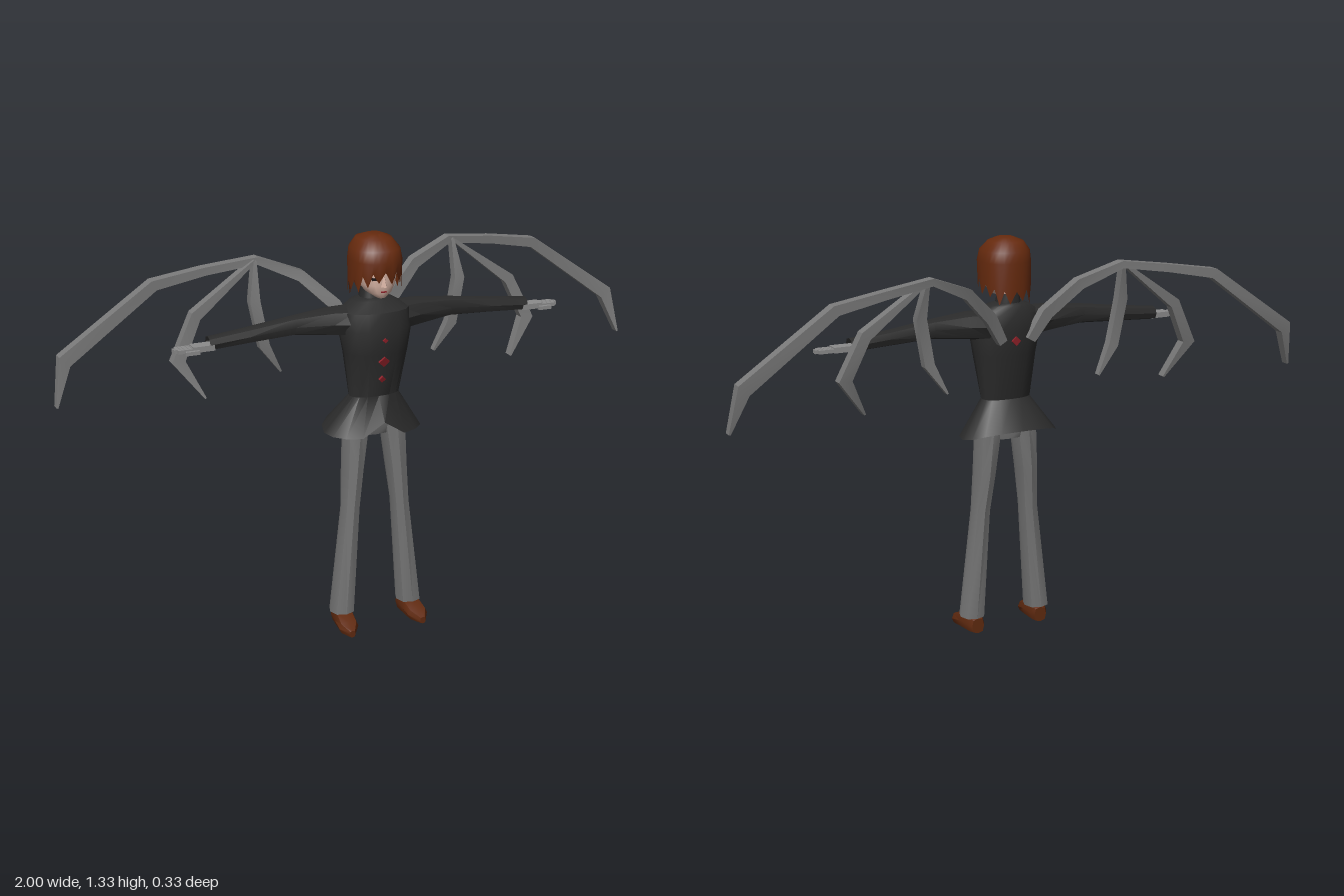
import * as THREE from 'three';
import { toCreasedNormals } from 'three/addons/utils/BufferGeometryUtils.js';

const paint = (name, color, side = THREE.FrontSide) => {
  const m = new THREE.MeshStandardMaterial({ color, side });
  m.name = name;
  return m;
};

// Skin a list of equal-sized rings of [x, y, z] points, counter-clockwise around the direction of travel.
function loft(rings, capStart = true, capEnd = true) {
  const n = rings[0].length, last = (rings.length - 1) * n, index = [];
  for (let r = 0; r < rings.length - 1; r++) {
    for (let i = 0; i < n; i++) {
      const a = r * n + i, b = r * n + (i + 1) % n;
      index.push(a, b, b + n, a, b + n, a + n);
    }
  }
  for (let i = 1; i < n - 1; i++) {
    if (capStart) index.push(0, i + 1, i);
    if (capEnd) index.push(last, last + i, last + i + 1);
  }
  const g = new THREE.BufferGeometry();
  g.setAttribute('position', new THREE.Float32BufferAttribute(rings.flat(2), 3));
  g.setIndex(index);
  return g;
}

// Rounded-square outline: n points as [cos, sin] softened by a power.
function outline(n, power = 0.85) {
  const soft = v => Math.sign(v) * Math.pow(Math.abs(v), power);
  return Array.from({ length: n }, (_, i) => {
    const a = i / n * Math.PI * 2;
    return [soft(Math.cos(a)), soft(Math.sin(a))];
  });
}

// Upright section: height, centre x, half width, front z, back z.
const level = (n, y, xc, hw, zF, zB) =>
  outline(n).map(([c, s]) => [xc + hw * s, y, (zF + zB) / 2 + c * (zF - zB) / 2]);

// Four-sided tapering beam through points of [x, y, z, width, depth].
function beam(points) {
  return loft(points.map(([x, y, z, w, d], i) => {
    const a = points[Math.max(0, i - 1)], b = points[Math.min(points.length - 1, i + 1)];
    const len = Math.hypot(b[0] - a[0], b[1] - a[1]);
    const nx = -(b[1] - a[1]) / len, ny = (b[0] - a[0]) / len;
    return [[1, 1], [-1, 1], [-1, -1], [1, -1]].map(([u, v]) =>
      [x + nx * u * w / 2, y + ny * u * w / 2, z + v * d / 2]);
  }));
}

export function createModel() {
  const black = paint('jacketBlack', 0x2b2b2b, THREE.DoubleSide);
  const grey = paint('trouserGrey', 0x757575);
  const bone = paint('wingGrey', 0x7a7a7a);
  const brown = paint('hairBrown', 0x662a0e, THREE.DoubleSide);
  const leather = paint('shoeBrown', 0x602a10);
  const skin = paint('skin', 0xd9b5a6);
  const glove = paint('handGrey', 0x8c8c8c);
  const red = paint('red', 0x8c2028);
  const dark = paint('eyeDark', 0x201818);

  const model = new THREE.Group();
  model.name = 'wingedFigure';
  const add = (name, geo, mat, crease = 0.7) => {
    const mesh = new THREE.Mesh(toCreasedNormals(geo, crease), mat);
    mesh.name = name;
    model.add(mesh);
    return mesh;
  };
  // Part built on the left, plus its mirror image on the right.
  const pair = (name, geo, mat, crease) => {
    add(name + 'Left', geo, mat, crease);
    const m = geo.clone().scale(-1, 1, 1);
    m.setIndex(Array.from(geo.index.array).reverse());
    add(name + 'Right', m, mat, crease);
  };
  const box = (w, h, d, x, y, z) => new THREE.BoxGeometry(w, h, d).translate(x, y, z);

  // Jacket: flared hem notched at the front, pointed tail at the back
  const hem = level(16, 0.677, 0, 0.165, 0.135, -0.085);
  hem[0][1] = 0.725;
  hem.forEach((p, i) => { if (p[2] < 0) p[1] += 0.035 * p[2] / -0.085; });
  add('jacket', loft([
    hem,
    ...[[0.8, 0.085, 0.088, 0], [0.95, 0.105, 0.132, -0.025], [1.03, 0.12, 0.135, -0.035],
      [1.085, 0.115, 0.122, -0.03], [1.112, 0.07, 0.075, -0.02], [1.12, 0.035, 0.065, -0.012],
    ].map(([y, hw, f, b]) => level(16, y, 0, hw, f, b)),
  ], false, true), black);
  add('collar', loft([
    level(12, 1.09, 0, 0.045, 0.07, -0.015), level(12, 1.15, 0, 0.034, 0.058, -0.012),
  ], false, false), black);

  // Sleeves: x, bottom, top, back z, front z
  pair('sleeve', loft([
    [0.08, 1.0, 1.1, -0.03, 0.1], [0.15, 1.008, 1.1, -0.02, 0.085], [0.27, 1.022, 1.087, -0.002, 0.062],
    [0.42, 1.015, 1.067, 0, 0.056], [0.55, 1.008, 1.053, 0.004, 0.055],
  ].map(([x, b, t, z0, z1]) => outline(8).map(([c, s]) =>
    [x, (b + t) / 2 + c * (t - b) / 2, (z0 + z1) / 2 + s * (z1 - z0) / 2])), false, false), black);

  // Hands
  pair('palm', box(0.07, 0.018, 0.042, 0.57, 1.022, 0.034), glove);
  for (let i = 0; i < 4; i++) {
    const len = [0.052, 0.062, 0.06, 0.05][i];
    pair('finger' + i, box(len, 0.012, 0.0095, 0.603 + len / 2, 1.021, 0.018 + i * 0.011), glove);
  }
  pair('thumb', box(0.045, 0.012, 0.011, 0.61, 1.016, 0.062), glove);

  // Front buttons and back mark, thin diamonds
  [[1.0, 0.136, 0.012, 0.05], [0.928, 0.127, 0.026, 0.3], [0.865, 0.112, 0.016, 0.3], [1.0, -0.034, 0.022, 0]]
    .forEach(([y, z, size, tilt], i) => {
      const g = new THREE.BoxGeometry(size, size, 0.008).rotateZ(Math.PI / 4);
      add(i < 3 ? 'button' : 'backMark', g.rotateX(tilt).translate(0, y, z), red);
    });

  // Trousers
  add('hips', loft([
    level(12, 0.665, 0, 0.06, 0.075, 0.005), level(12, 0.71, 0, 0.1, 0.09, 0), level(12, 0.79, 0, 0.08, 0.08, 0.005),
  ]), grey);
  pair('trouserLeg', loft([
    [0.052, 0.121, 0.041, 0.1, 0.013], [0.42, 0.088, 0.03, 0.091, 0.018],
    [0.55, 0.077, 0.034, 0.094, 0.0], [0.72, 0.062, 0.045, 0.092, -0.003],
  ].map(([y, x, hw, f, b]) => level(8, y, x, hw, f, b))), grey);

  // Shoes: z, centre x, half width, height
  pair('shoe', loft([
    [0.014, 0.118, 0.022, 0.052], [0.03, 0.119, 0.03, 0.06], [0.085, 0.122, 0.034, 0.058],
    [0.13, 0.126, 0.034, 0.04], [0.167, 0.128, 0.01, 0.024],
  ].map(([z, x, hw, h]) => outline(8, 0.7).map(([c, s]) =>
    [x + hw * c, h / 2 + s * h / 2, z]))), leather);

  // Head and face
  add('neck', new THREE.CylinderGeometry(0.028, 0.028, 0.1, 10).translate(0, 1.14, 0.024), skin);
  add('head', loft([
    [1.133, 0.014, 0.115, 0.085], [1.15, 0.04, 0.122, 0.04], [1.175, 0.058, 0.125, 0],
    [1.21, 0.066, 0.125, -0.02], [1.26, 0.068, 0.122, -0.02], [1.295, 0.05, 0.1, 0],
  ].map(([y, hw, f, b]) => level(14, y, 0, hw, f, b))), skin, 1.1);
  add('nose', loft([
    [[0, 1.168, 0.12], [0.011, 1.17, 0.12], [0, 1.174, 0.144], [-0.011, 1.17, 0.12]].reverse(),
    [[0, 1.21, 0.12], [0.003, 1.208, 0.122], [0, 1.207, 0.127], [-0.003, 1.208, 0.122]].reverse(),
  ]), skin);
  pair('eye', box(0.018, 0.008, 0.008, 0.029, 1.198, 0.119), dark);
  add('mouth', box(0.018, 0.004, 0.008, 0, 1.155, 0.1215), red);

  // Hair: cap with a jagged rim, longer toward the nape
  const N = 28;
  const rim = level(N, 0, 0, 0.08, 0.138, -0.038);
  const cosines = outline(N, 1);
  rim.forEach((p, i) => {
    const c = cosines[i][0];
    p[1] = (c > 0 ? 1.185 + 0.035 * c : 1.185 + 0.025 * c) - (i % 2 ? 0.032 + 0.008 * (i % 3) : 0);
  });
  add('hair', loft([
    rim,
    ...[[1.25, 0.082, 0.144, -0.038], [1.285, 0.077, 0.132, -0.034], [1.315, 0.055, 0.098, -0.015],
      [1.327, 0.025, 0.07, 0.02]].map(([y, hw, f, b]) => level(N, y, 0, hw, f, b)),
  ], false, true), brown, 0.9);

  // Wing bones: leading arm and two hooked fingers
  pair('wingArm', beam([
    [0.05, 1.0, -0.03, 0.03, 0.03], [0.1, 1.085, -0.045, 0.04, 0.035], [0.2, 1.18, -0.085, 0.036, 0.035],
    [0.335, 1.236, -0.118, 0.024, 0.035], [0.5, 1.214, -0.14, 0.026, 0.036], [0.665, 1.185, -0.148, 0.034, 0.038],
    [0.96, 0.975, -0.148, 0.046, 0.036], [0.998, 0.838, -0.118, 0.006, 0.028],
  ]), bone, 0.4);
  pair('outerFinger', beam([
    [0.345, 1.238, -0.108, 0.01, 0.03], [0.55, 1.085, -0.095, 0.036, 0.034],
    [0.615, 0.948, -0.082, 0.044, 0.034], [0.54, 0.828, -0.05, 0.006, 0.03],
  ]), bone, 0.4);
  pair('innerFinger', beam([
    [0.345, 1.238, -0.108, 0.01, 0.03], [0.358, 1.115, -0.08, 0.034, 0.032],
    [0.33, 0.965, -0.075, 0.034, 0.03], [0.272, 0.87, -0.085, 0.006, 0.022],
  ]), bone, 0.4);

  return model;
}
